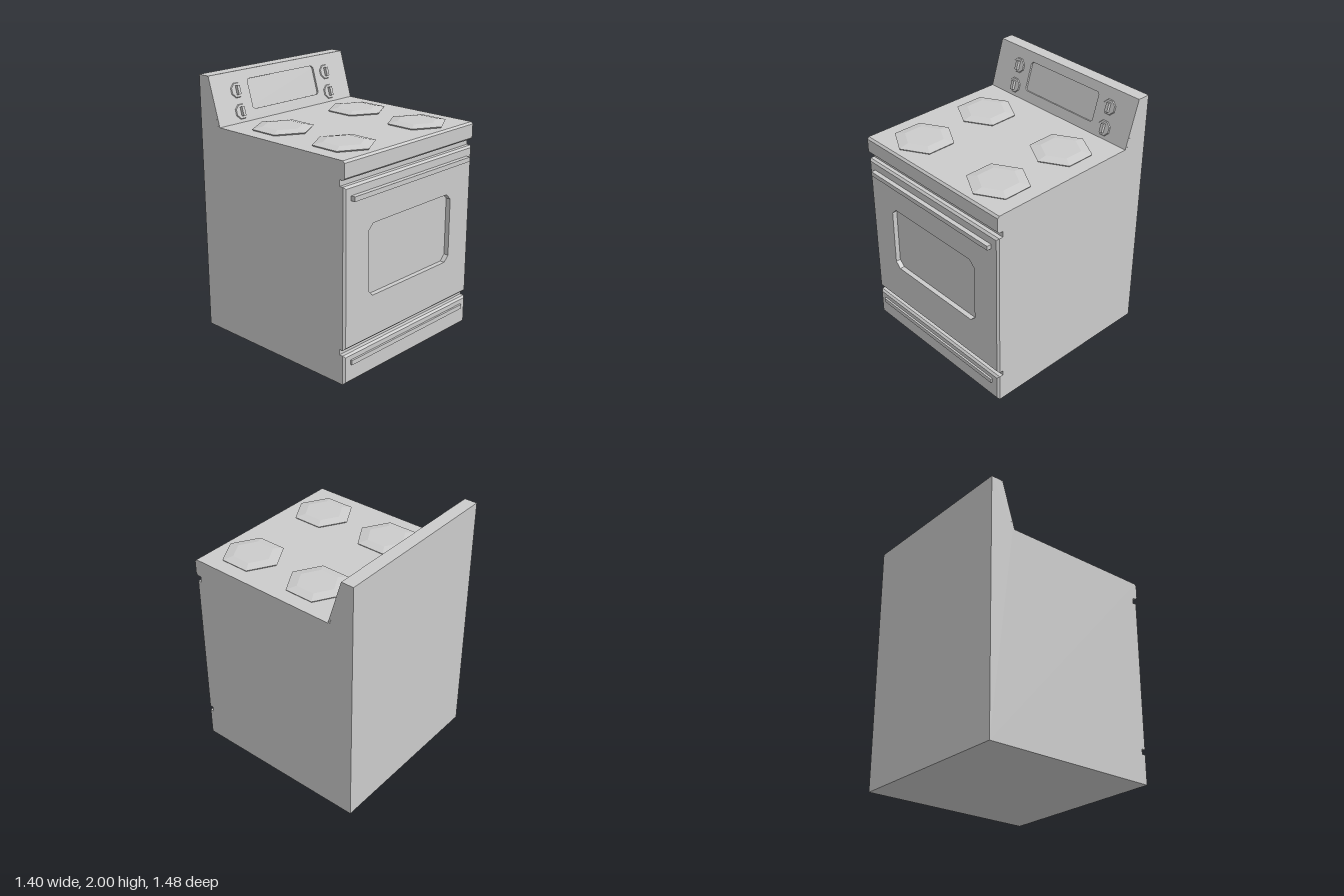
import * as THREE from 'three';

const material = new THREE.MeshStandardMaterial({ color: 0xcccccc, flatShading: true });
const W = 0.7;            // half width
const BEVEL = 0.015;

function add(parent, name, geometry, x = 0, y = 0, z = 0) {
  const mesh = new THREE.Mesh(geometry, material);
  mesh.name = name;
  mesh.position.set(x, y, z);
  parent.add(mesh);
  return mesh;
}

const polygon = (points) => new THREE.Shape(points.map(([a, b]) => new THREE.Vector2(a, b)));

// Rectangle with cut corners
function cutRect(x0, x1, y0, y1, c) {
  return polygon([
    [x0 + c, y0], [x1 - c, y0], [x1, y0 + c], [x1, y1 - c],
    [x1 - c, y1], [x0 + c, y1], [x0, y1 - c], [x0, y0 + c],
  ]);
}

// Slab from z = 0 to 0.045 whose outer front edge is bevelled; the hole stays straight
function panelGeometry(y0, y1, hole) {
  const shape = polygon([[-W, y0], [W, y0], [W, y1], [-W, y1]]);
  if (hole) shape.holes.push(hole);
  const depth = 3 * BEVEL;
  const geometry = new THREE.ExtrudeGeometry(shape, { depth, steps: 3, bevelEnabled: false });
  const p = geometry.attributes.position;
  for (let i = 0; i < p.count; i++) {
    if (p.getZ(i) < depth - 0.001) continue;
    p.setX(i, THREE.MathUtils.clamp(p.getX(i), -W + BEVEL, W - BEVEL));
    p.setY(i, THREE.MathUtils.clamp(p.getY(i), y0 + BEVEL, y1 - BEVEL));
  }
  geometry.computeVertexNormals();
  return geometry;
}

export function createModel() {
  const stove = new THREE.Group();
  stove.name = 'stove';

  // Cabinet, cooktop edge and backsplash core: side profile (z, y) extruded across the width
  const profile = polygon([
    [-0.74, 0], [0.66, 0], [0.66, 1.5], [0.69, 1.5], [0.705, 1.515], [0.705, 1.62],
    [0.69, 1.635], [-0.546, 1.635], [-0.654, 1.996], [-0.64, 2], [-0.74, 2],
  ]);
  const body = new THREE.ExtrudeGeometry(profile, { depth: 2 * W, bevelEnabled: false });
  body.rotateY(-Math.PI / 2);
  add(stove, 'cabinet', body, W);

  // Oven door with recessed window, and storage drawer
  const windowShape = cutRect(-0.455, 0.455, 0.595, 1.135, 0.045);
  add(stove, 'ovenDoor', panelGeometry(0.265, 1.455, windowShape), 0, 0, 0.66);
  add(stove, 'ovenWindow', new THREE.ShapeGeometry(windowShape), 0, 0, 0.667);
  add(stove, 'drawer', panelGeometry(0, 0.225), 0, 0, 0.66);

  // Bar handles
  add(stove, 'doorHandle', new THREE.BoxGeometry(1.27, 0.035, 0.035), 0, 1.367, 0.7225);
  add(stove, 'drawerHandle', new THREE.BoxGeometry(1.27, 0.035, 0.015), 0, 0.157, 0.7125);

  // Hexagonal burners
  const burner = new THREE.LatheGeometry(
    [[0.222, 0], [0.23, 0.01], [0.15, 0.025], [0, 0.025]].map(([r, y]) => new THREE.Vector2(r, y)), 6);
  for (const x of [-0.395, 0.395])
    for (const z of [-0.185, 0.418]) add(stove, 'burner', burner, x, 1.635, z);

  // Tilted control panel, built upright in its own frame
  const controls = new THREE.Group();
  controls.name = 'controlPanel';
  controls.position.set(0, 1.635, -0.53);
  controls.rotation.x = -Math.atan2(0.11, 0.365);
  stove.add(controls);

  const face = polygon([[-W, 0], [W, 0], [W, 0.381], [-W, 0.381]]);
  face.holes.push(cutRect(-0.348, 0.348, 0.079, 0.308, 0.015));
  add(controls, 'controlFace',
    new THREE.ExtrudeGeometry(face, { depth: 0.015, bevelEnabled: false }), 0, 0, -0.015);

  // Knobs: low octagonal disc with a grip bar
  const disc = new THREE.CylinderGeometry(0.055, 0.06, 0.008, 8);
  disc.rotateY(Math.PI / 8).rotateX(Math.PI / 2);
  const grip = new THREE.BoxGeometry(0.024, 0.07, 0.03);
  for (const x of [-0.468, 0.468])
    for (const y of [0.08, 0.24]) {
      add(controls, 'knobDisc', disc, x, y, 0.004);
      add(controls, 'knobGrip', grip, x, y, 0.017);
    }

  return stove;
}
